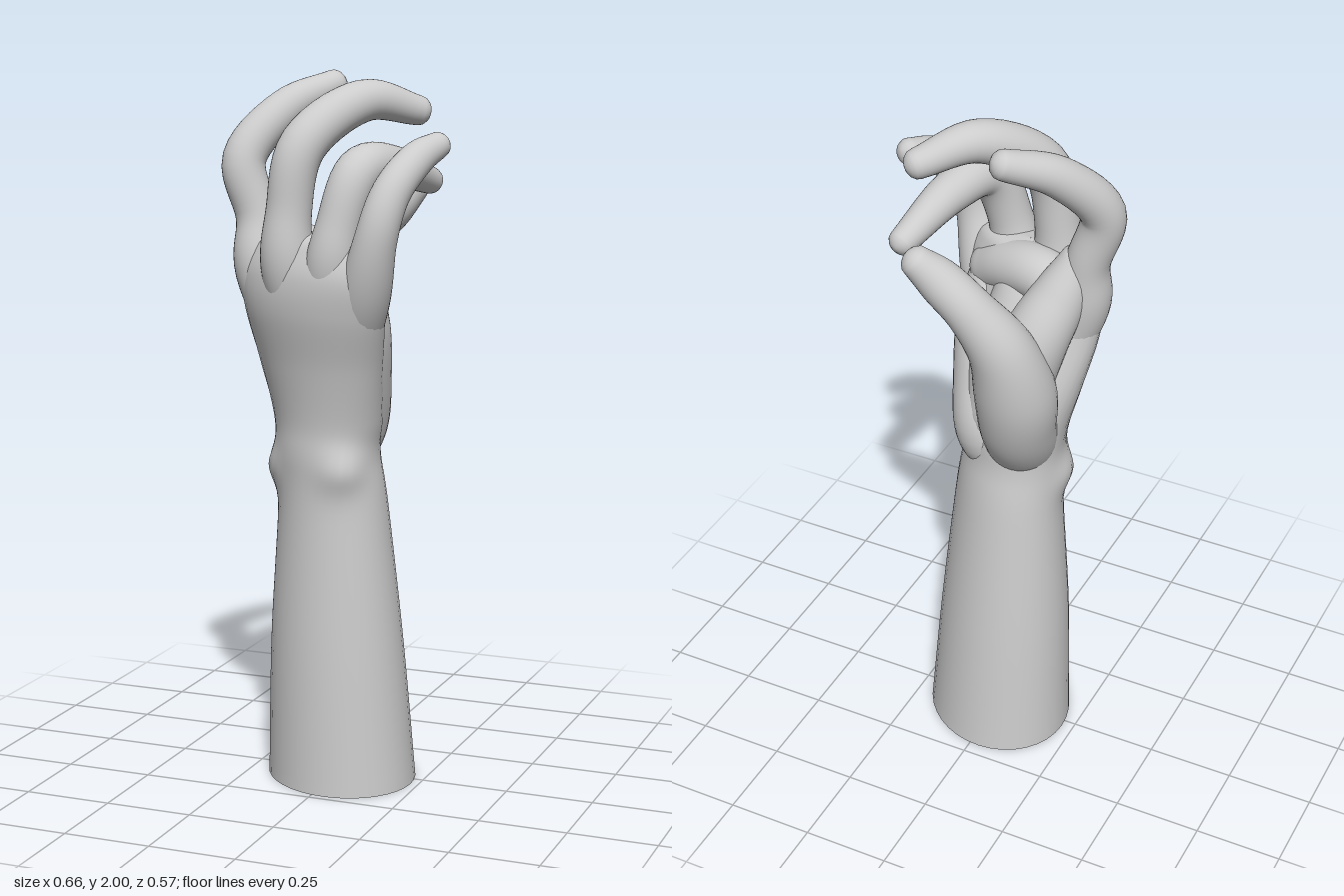
import * as THREE from 'three';

const SIDES = 36;
const V = (x, y, z) => new THREE.Vector3(x, y, z);
const smooth = points => new THREE.CatmullRomCurve3(points, false, 'catmullrom', 0.5);
const material = new THREE.MeshStandardMaterial({ color: 0xcccccc });

// Skin a list of equal-length rings that run counter-clockwise about the direction of travel
function skin(name, rings) {
  const pos = [], idx = [], n = SIDES;
  rings.forEach(ring => ring.forEach(p => pos.push(p.x, p.y, p.z)));
  for (let i = 0; i < rings.length - 1; i++) {
    for (let j = 0; j < n; j++) {
      const a = i * n + j, b = i * n + (j + 1) % n;
      idx.push(a, b, b + n, a, b + n, a + n);
    }
  }
  const g = new THREE.BufferGeometry();
  g.setAttribute('position', new THREE.Float32BufferAttribute(pos, 3));
  g.setIndex(idx);
  g.computeVertexNormals();
  const mesh = new THREE.Mesh(g, material);
  mesh.name = name;
  return mesh;
}

// One oval ring about centre c, with half sizes rn and rb along n and b
function oval(c, n, b, rn, rb) {
  return Array.from({ length: SIDES }, (_, j) => {
    const a = (j / SIDES) * Math.PI * 2;
    return c.clone().addScaledVector(n, rn * Math.cos(a)).addScaledVector(b, rb * Math.sin(a));
  });
}

// Rounded limb along points [x, y, z, radius], with domed ends
function limb(name, pts, steps = 7) {
  const path = smooth(pts.map(p => V(p[0], p[1], p[2])));
  const size = smooth(pts.map(p => V(p[3], 0, 0)));
  const across = V(0.7, 0, 0.7), rings = [], count = steps * (pts.length - 1);
  const add = (t, shift, scale) => {
    const r = size.getPoint(t).x, dir = path.getTangent(t);
    const n = across.clone().addScaledVector(dir, -across.dot(dir)).normalize();
    const b = dir.clone().cross(n);
    rings.push(oval(path.getPoint(t).addScaledVector(dir, shift * r), n, b, r * scale, r * scale));
  };
  const dome = [0, 0.25, 0.5, 0.75, 0.92, 1].map(k => k * Math.PI / 2);
  for (const a of [...dome].reverse()) add(0, -0.8 * Math.sin(a), Math.cos(a));
  for (let i = 1; i < count; i++) add(i / count, 0, 1);
  for (const a of dome) add(1, 0.8 * Math.sin(a), Math.cos(a));
  return skin(name, rings);
}

// Forearm, wrist and palm: [y, centre x, centre z, half width, half depth, turn in degrees]
function armAndPalm() {
  const rows = [
    [0, 0.006, 0.01, 0.237, 0.206, 45],
    [0.4, -0.005, 0.02, 0.213, 0.184, 45],
    [0.8, -0.013, 0.03, 0.18, 0.15, 45],
    [0.95, -0.023, 0.04, 0.166, 0.14, 40],
    [1.05, -0.022, 0.045, 0.176, 0.138, 32],
    [1.2, -0.03, 0.075, 0.205, 0.132, 24],
    [1.35, -0.033, 0.12, 0.234, 0.122, 20],
    [1.45, -0.033, 0.14, 0.24, 0.106, 20],
    [1.52, -0.03, 0.14, 0.212, 0.085, 20],
    [1.56, -0.025, 0.14, 0.155, 0.058, 20],
    [1.575, -0.02, 0.14, 0.001, 0.001, 20],
  ];
  // Wrist bones swell the skin outwards
  const bones = [V(0.07, 0.92, 0.18), V(-0.175, 0.9, 0.06)];
  const centre = smooth(rows.map(r => V(r[1], r[0], r[2])));
  const shape = smooth(rows.map(r => V(r[3], r[4], r[5])));
  const rings = [], count = 100;
  for (let i = 0; i <= count; i++) {
    const c = centre.getPoint(i / count);
    const [w, d, deg] = shape.getPoint(i / count).toArray();
    const t = deg * Math.PI / 180;
    const ring = oval(c, V(Math.cos(t), 0, Math.sin(t)), V(Math.sin(t), 0, -Math.cos(t)), w, d);
    for (const p of ring) {
      const out = p.clone().sub(c).normalize();
      const swell = bones.reduce((s, b) => s + 0.028 * Math.exp(-p.distanceToSquared(b) / 0.0036), 0);
      p.addScaledVector(out, swell);
    }
    rings.push(ring);
  }
  const middle = V(0.006, 0, 0.01);
  const cap = skin('forearmCap', [rings[0].map(() => middle), rings[0]]);
  return [skin('forearmAndPalm', rings), cap];
}

export function createModel() {
  const hand = new THREE.Group();
  hand.name = 'hand';
  hand.add(...armAndPalm());

  // Fingers, each starting deep inside the palm and curling towards the thumb
  const fingers = {
    indexFinger: [
      [-0.13, 1.2, 0.06, 0.05], [-0.205, 1.45, 0.075, 0.076], [-0.226, 1.6, 0.06, 0.061],
      [-0.266, 1.76, 0.058, 0.061], [-0.182, 1.893, -0.038, 0.055], [-0.077, 1.958, -0.148, 0.041],
    ],
    middleFinger: [
      [-0.06, 1.2, 0.09, 0.05], [-0.088, 1.46, 0.165, 0.075], [-0.085, 1.63, 0.172, 0.063],
      [-0.052, 1.81, 0.145, 0.065], [0.062, 1.92, 0.0, 0.058], [0.178, 1.89, -0.132, 0.041],
    ],
    ringFinger: [
      [0.02, 1.2, 0.1, 0.05], [0.045, 1.45, 0.188, 0.073], [0.07, 1.6, 0.195, 0.062],
      [0.108, 1.74, 0.145, 0.064], [0.15, 1.745, 0.0, 0.057], [0.187, 1.692, -0.203, 0.038],
    ],
    littleFinger: [
      [0.07, 1.18, 0.1, 0.05], [0.14, 1.4, 0.188, 0.07], [0.188, 1.57, 0.228, 0.058],
      [0.22, 1.69, 0.2, 0.053], [0.26, 1.773, 0.12, 0.048], [0.298, 1.81, 0.046, 0.036],
    ],
  };
  for (const [name, pts] of Object.entries(fingers)) hand.add(limb(name, pts));

  // Thumb with its fleshy root
  hand.add(limb('thumb', [
    [-0.045, 0.92, 0.03, 0.07], [-0.07, 1.02, -0.015, 0.1], [-0.09, 1.13, -0.08, 0.108],
    [-0.1, 1.26, -0.12, 0.112], [-0.08, 1.41, -0.165, 0.09], [-0.01, 1.53, -0.2, 0.068],
    [0.07, 1.61, -0.215, 0.061], [0.127, 1.67, -0.24, 0.044],
  ]));

  // Heel of the palm, on the little finger's side
  hand.add(limb('palmHeel', [
    [0.01, 0.9, 0.04, 0.07], [0.035, 1.02, -0.005, 0.095], [0.06, 1.16, 0.045, 0.1],
    [0.085, 1.32, 0.11, 0.095], [0.09, 1.45, 0.16, 0.07],
  ]));

  // Web between thumb and index finger
  hand.add(limb('thumbWeb', [
    [-0.07, 1.2, -0.05, 0.09], [-0.115, 1.37, -0.035, 0.092],
    [-0.165, 1.5, 0.02, 0.076], [-0.2, 1.6, 0.055, 0.05],
  ]));

  // Hollow of the palm and the padded ridge under the finger roots
  hand.add(limb('palmHollow', [[0.0, 1.08, 0.0, 0.1], [-0.01, 1.25, 0.04, 0.11], [-0.03, 1.45, 0.1, 0.085]]));
  hand.add(limb('fingerPads', [
    [-0.18, 1.48, 0.05, 0.07], [-0.08, 1.51, 0.08, 0.076], [0.02, 1.49, 0.115, 0.074], [0.1, 1.45, 0.15, 0.068],
  ]));
  return hand;
}
